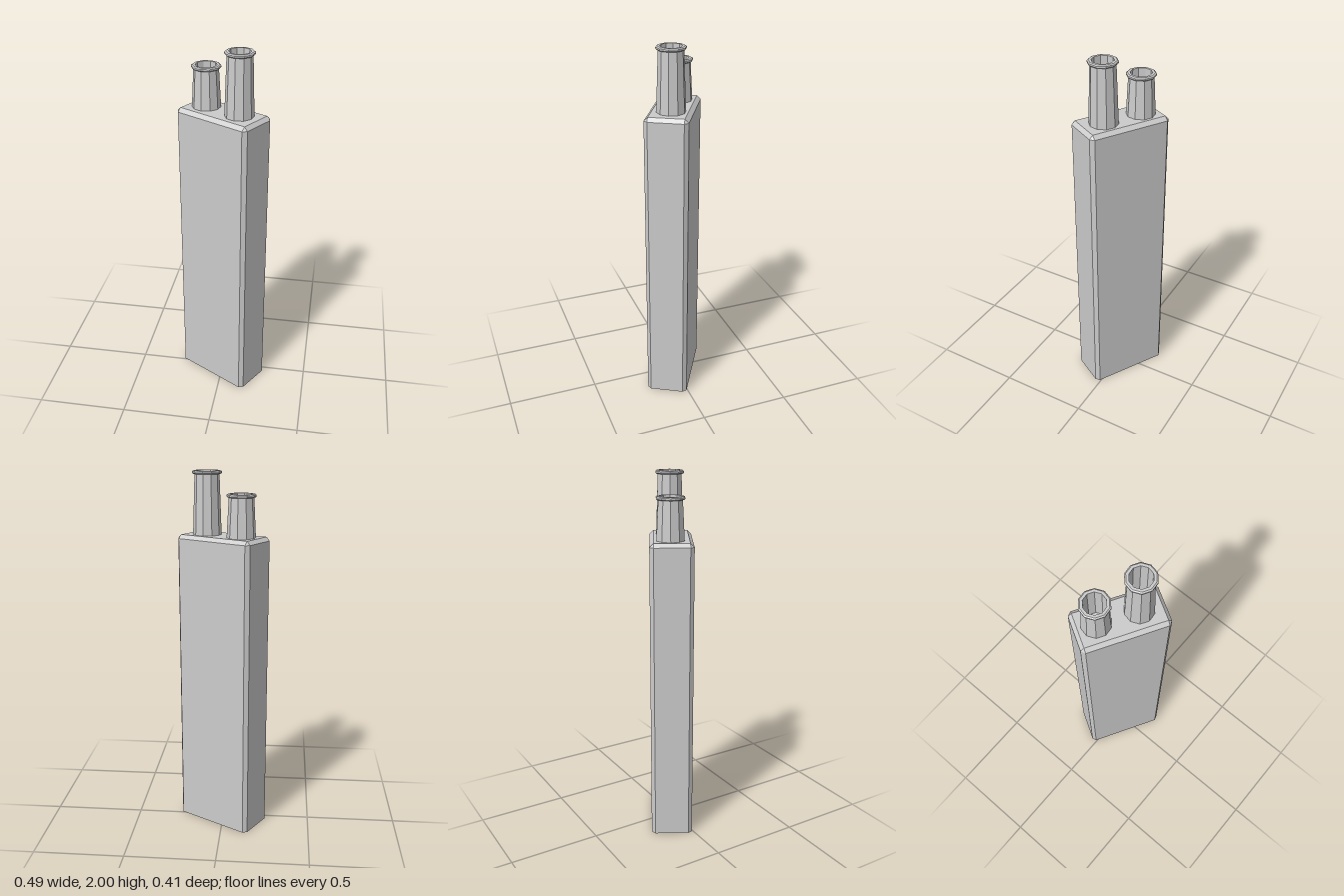
import * as THREE from 'three';

const material = new THREE.MeshStandardMaterial({
  color: 0xcccccc, flatShading: true, side: THREE.DoubleSide,
});

const TOP = 1.665, BEVEL_Y = 1.645;
const HX = 0.231, HZ = 0.115;   // half length and half depth of the stack
const IX = 0.212, IZ = 0.094;   // the same, inside the bevels

// Eight-point outline: two points per corner, going round from +x to +z
function outline(outerX, outerZ, y) {
  const xs = [outerX, IX, -IX, -outerX, -outerX, -IX, IX, outerX];
  const zs = [IZ, outerZ, outerZ, IZ, -IZ, -outerZ, -outerZ, -IZ];
  return xs.map((x, i) => [x, y, zs[i]]);
}

// Bevelled stack: walls, top bevel with corner triangles, flat top, open base
function stackGeometry() {
  const rings = [outline(HX, HZ, 0), outline(HX, HZ, BEVEL_Y), outline(IX, IZ, TOP)];
  const index = [];
  for (let r = 0; r < 2; r++) {
    for (let i = 0; i < 8; i++) {
      const j = (i + 1) % 8;
      const a = r * 8 + i, b = r * 8 + j, c = b + 8, d = a + 8;
      // bevel corners close to a single point at the top
      const corner = r === 1 && i % 2 === 0;
      if (corner) index.push(a, d, b);
      else index.push(a, c, b, a, d, c);
    }
  }
  index.push(16, 20, 18, 16, 22, 20);
  const geo = new THREE.BufferGeometry();
  geo.setAttribute('position', new THREE.Float32BufferAttribute(rings.flat(2), 3));
  geo.setIndex(index);
  const flat = geo.toNonIndexed();
  flat.computeVertexNormals();
  return flat;
}

// Ten-sided tapered pot with a bevelled lip and a hollow inside
function potGeometry(top) {
  const profile = [
    [0.077, TOP - 0.005], [0.066, top - 0.018], [0.073, top - 0.018],
    [0.078, top - 0.013], [0.078, top - 0.005], [0.071, top],
    [0.057, top], [0.057, TOP - 0.005],
  ].map(([r, y]) => new THREE.Vector2(r, y));
  return new THREE.LatheGeometry(profile, 10, Math.PI / 10);
}

export function createModel() {
  const model = new THREE.Group();
  model.name = 'chimney';

  // The whole chimney stands turned by 30 degrees
  const turned = new THREE.Group();
  turned.name = 'turnedChimney';
  turned.rotation.y = -Math.PI / 6;
  model.add(turned);

  const stack = new THREE.Mesh(stackGeometry(), material);
  stack.name = 'stack';
  turned.add(stack);

  for (const [name, x, top] of [['shortPot', -0.118, 1.89], ['tallPot', 0.101, 2.0]]) {
    const pot = new THREE.Mesh(potGeometry(top), material);
    pot.name = name;
    pot.position.set(x, 0, -0.006);
    turned.add(pot);
  }
  return model;
}
